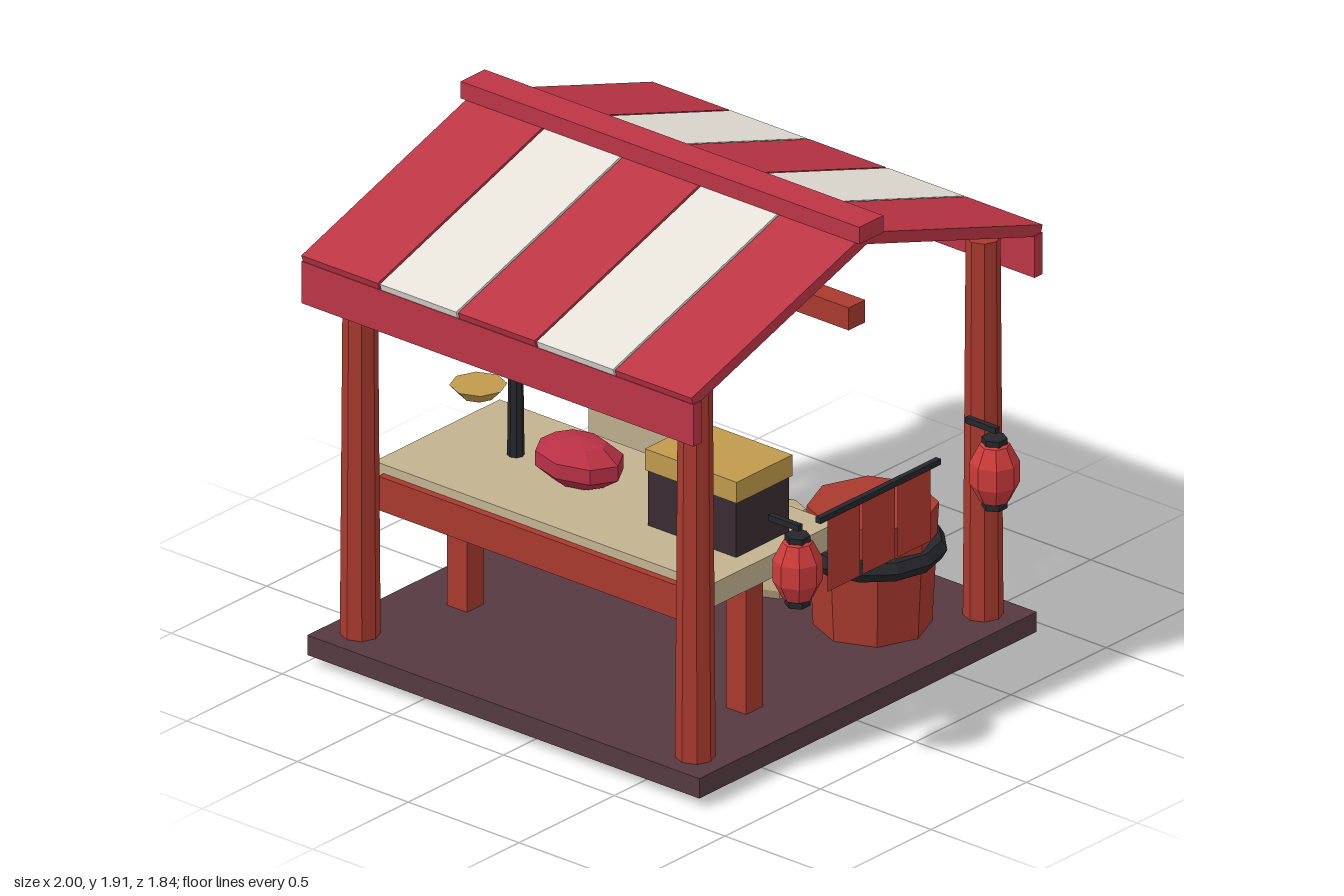
import * as THREE from 'three';

const mat = (color, side = THREE.FrontSide) =>
  new THREE.MeshStandardMaterial({ color, flatShading: true, side });

const M = {
  wood: mat(0xa83a2e), floor: mat(0x553a40), counter: mat(0xc2b290), black: mat(0x26272b),
  red: mat(0xbc3545), cream: mat(0xe6e1d8), gold: mat(0xbf9a4c), darkBox: mat(0x3a2c32),
  lantern: mat(0xcc3b3b), flag: mat(0xb43a30, THREE.DoubleSide), tan: mat(0xcdb88f), melon: mat(0xb83044),
};

export function createModel() {
  const model = new THREE.Group();
  const cx = -0.1; // centre line of the stall itself

  const add = (name, geometry, material, x, y, z) => {
    const mesh = new THREE.Mesh(geometry, material);
    mesh.name = name;
    mesh.position.set(x, y, z);
    model.add(mesh);
    return mesh;
  };
  // Box given by its extents along each axis
  const box = (name, material, [x0, x1], [y0, y1], [z0, z1]) =>
    add(name, new THREE.BoxGeometry(x1 - x0, y1 - y0, z1 - z0), material,
      (x0 + x1) / 2, (y0 + y1) / 2, (z0 + z1) / 2);
  const cylinder = (name, material, rTop, rBottom, y0, y1, x, z, sides = 8) =>
    add(name, new THREE.CylinderGeometry(rTop, rBottom, y1 - y0, sides), material, x, (y0 + y1) / 2, z);
  // Coarse faceted ellipsoid
  const blob = (name, material, rx, ry, rz, x, y, z) =>
    add(name, new THREE.SphereGeometry(1, 8, 5).scale(rx, ry, rz), material, x, y, z);

  // Platform and corner posts
  box('platform', M.floor, [-0.985, 0.785], [0.035, 0.11], [-0.885, 0.885]);
  for (const x of [-0.858, 0.655])
    for (const z of [-0.755, 0.755]) cylinder('post', M.wood, 0.06, 0.07, 0.11, 1.535, x, z);

  // Striped roof with eave boards, ridge cap and inner beam
  const slope = Math.atan2(0.298, 0.915);
  for (const s of [1, -1]) {
    for (let i = 0; i < 5; i++) {
      const stripe = add('roofStripe', new THREE.BoxGeometry(0.345, 0.043, 0.962),
        i % 2 ? M.cream : M.red, cx + (i - 2) * 0.354, 1.689, s * 0.4575);
      stripe.rotation.x = s * slope;
    }
    const z = s * 0.895;
    box('eaveBoard', M.red, [-0.985, 0.785], [1.377, 1.535], [z - 0.021, z + 0.021]);
  }
  box('ridgeCap', M.red, [-1, 0.8], [1.843, 1.907], [-0.063, 0.063]);
  box('beam', M.wood, [-0.94, 0.735], [1.49, 1.575], [-0.043, 0.043]);

  // Counter with front rail and two legs
  box('counterTop', M.counter, [-0.86, 0.66], [0.643, 0.732], [0.022, 0.677]);
  box('counterRail', M.wood, [-0.82, 0.62], [0.57, 0.698], [0.632, 0.705]);
  for (const x of [-0.735, 0.525])
    box('counterLeg', M.wood, [x - 0.045, x + 0.045], [0.11, 0.645], [0.3, 0.39]);

  // Balance scale
  cylinder('scalePost', M.black, 0.025, 0.03, 0.73, 1.15, -0.53, 0.32);
  box('scaleArm', M.black, [-0.547, -0.513], [1.14, 1.167], [0.105, 0.532]);
  for (const z of [0.118, 0.517]) cylinder('scalePan', M.gold, 0.1, 0.06, 1.026, 1.068, -0.53, z);

  // Goods on the counter
  blob('melon', M.melon, 0.184, 0.09, 0.13, -0.226, 0.812, 0.34);
  box('chest', M.darkBox, [0.185, 0.583], [0.73, 0.945], [0.18, 0.457]);
  box('chestLid', M.gold, [0.178, 0.592], [0.942, 1.022], [0.172, 0.465]);

  // Barrel with its hoop
  cylinder('barrel', M.wood, 0.228, 0.205, 0.11, 0.557, 0.413, -0.457);
  const hoop = new THREE.TorusGeometry(0.22, 0.04, 6, 12).rotateX(Math.PI / 2);
  add('barrelHoop', hoop, M.black, 0.413, 0.405, -0.457);

  // Sacks and crates on the floor
  blob('tanSack', M.tan, 0.163, 0.213, 0.168, -0.045, 0.213, -0.487);
  blob('whiteSack', M.cream, 0.143, 0.16, 0.143, -0.222, 0.193, -0.25);
  box('crate', M.wood, [-0.785, -0.388], [0.11, 0.475], [-0.63, -0.26]);
  const parcel = box('parcel', M.counter, [-0.756, -0.446], [0.475, 0.763], [-0.61, -0.3]);
  parcel.rotation.y = 0.32;

  // Hanging lanterns beside the stall
  for (const z of [-0.517, 0.517]) {
    blob('lantern', M.lantern, 0.091, 0.13, 0.091, 0.912, 0.81, z);
    for (const y of [0.69, 0.928])
      cylinder('lanternCap', M.black, 0.045, 0.045, y - 0.013, y + 0.013, 0.912, z, 6);
    box('lanternBracket', M.black, [0.788, 0.925], [0.96, 0.982], [z - 0.011, z + 0.011]);
  }

  // Cloth banners on a rod
  box('bannerRod', M.black, [0.824, 0.846], [0.89, 0.912], [-0.312, 0.32]);
  for (const z of [-0.183, 0.002, 0.185]) {
    const banner = add('banner', new THREE.PlaneGeometry(0.172, 0.28), M.flag, 0.835, 0.753, z);
    banner.rotation.y = Math.PI / 2;
  }

  return model;
}
